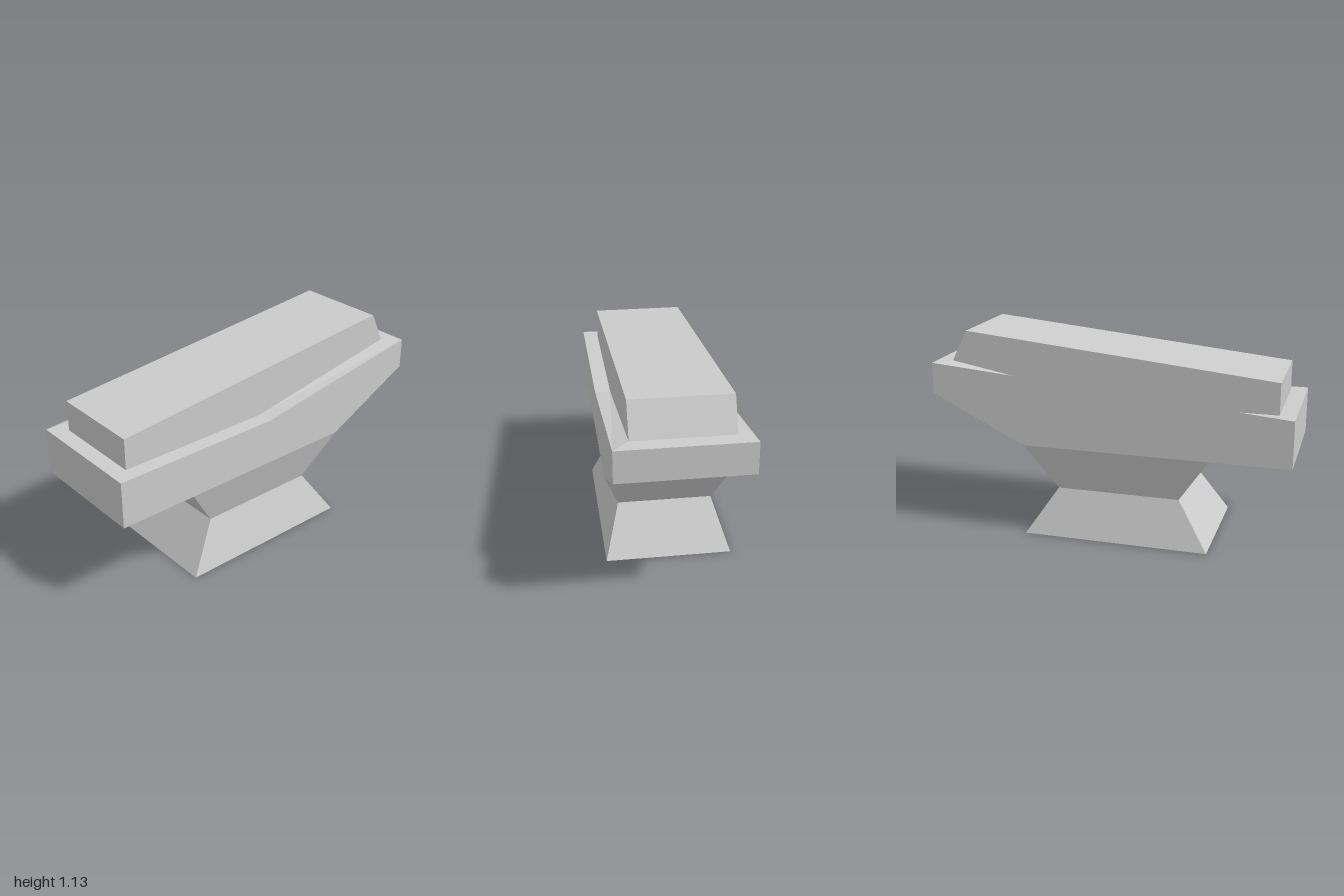
import * as THREE from 'three';

const grey = new THREE.MeshStandardMaterial({ color: 0xcccccc, side: THREE.DoubleSide });
grey.name = 'plain grey';

// Flat-shaded mesh from convex-fan polygons, each a loop of [x, y, z] corners
function polyMesh(name, polygons) {
  const pos = [];
  for (const p of polygons)
    for (let i = 1; i < p.length - 1; i++) pos.push(...p[0], ...p[i], ...p[i + 1]);
  const geo = new THREE.BufferGeometry();
  geo.setAttribute('position', new THREE.Float32BufferAttribute(pos, 3));
  geo.computeVertexNormals();
  const mesh = new THREE.Mesh(geo, grey);
  mesh.name = name;
  return mesh;
}

const mirror = (poly) => poly.map(([x, y, z]) => [-x, y, z]).reverse();
const withMirror = (polys) => polys.concat(polys.map(mirror));

// Side wall at +x from a [z, y] profile
const wall = (x, profile) => profile.map(([z, y]) => [x, y, z]);

// Strips running across the model between consecutive profile points
function across(x, path) {
  return path.slice(1).map(([z, y], i) => {
    const [pz, py] = path[i];
    return [[x, py, pz], [-x, py, pz], [-x, y, z], [x, y, z]];
  });
}

// Open four-sided tube between two rectangles [halfWidth, y, zFront, zBack]
function taper(name, lower, upper) {
  const ring = ([x, y, f, b]) => [[x, y, f], [x, y, b], [-x, y, b], [-x, y, f]];
  const lo = ring(lower), up = ring(upper);
  return polyMesh(name, lo.map((p, i) => {
    const j = (i + 1) % 4;
    return [p, lo[j], up[j], up[i]];
  }));
}

export function createModel() {
  const group = new THREE.Group();
  group.name = 'pedestalBlock';

  const W = 0.345, w = 0.26;              // outer and inner half widths
  const midZ = 0.04, low = 0.785, high = 0.957;
  const floorY = 0.525, footF = 0.565, footB = -0.475;

  // Hollow hourglass pedestal, open underneath
  const waist = [w, 0.262, 0.39, -0.30];
  group.add(taper('foot', [W, 0, footF, footB], waist));
  group.add(taper('neck', waist, [W, floorY, footF, footB]));

  // Main body: side walls, front, underside and back
  group.add(polyMesh('body', [
    ...withMirror([wall(W, [[midZ, low], [1, low], [1, floorY], [footB, floorY], [-1, low], [-1, high]])]),
    ...across(W, [[1, low], [1, floorY], [footF, floorY]]),
    ...across(W, [[footB, floorY], [-1, low], [-1, high]]),
  ]));

  // Ledge around the raised cover, rising toward the back
  const inF = 0.912, inB = -0.912;
  group.add(polyMesh('ledge', [
    [[-W, low, 1], [W, low, 1], [w, low, inF], [-w, low, inF]],
    [[W, high, -1], [-W, high, -1], [-w, high, inB], [w, high, inB]],
    ...withMirror([
      [[W, low, 1], [W, low, midZ], [w, low, midZ], [w, low, inF]],
      [[W, low, midZ], [W, high, -1], [w, low, midZ]],
      [[W, high, -1], [w, high, inB], [w, low, midZ]],
    ]),
  ]));

  // Sloping cover with a bevelled back
  const cover = [[inB, high], [-0.826, 1.13], [inF, high], [inF, low]];
  group.add(polyMesh('cover', [
    ...withMirror([wall(w, [[midZ, low], ...cover])]),
    ...across(w, cover),
  ]));

  return group;
}
